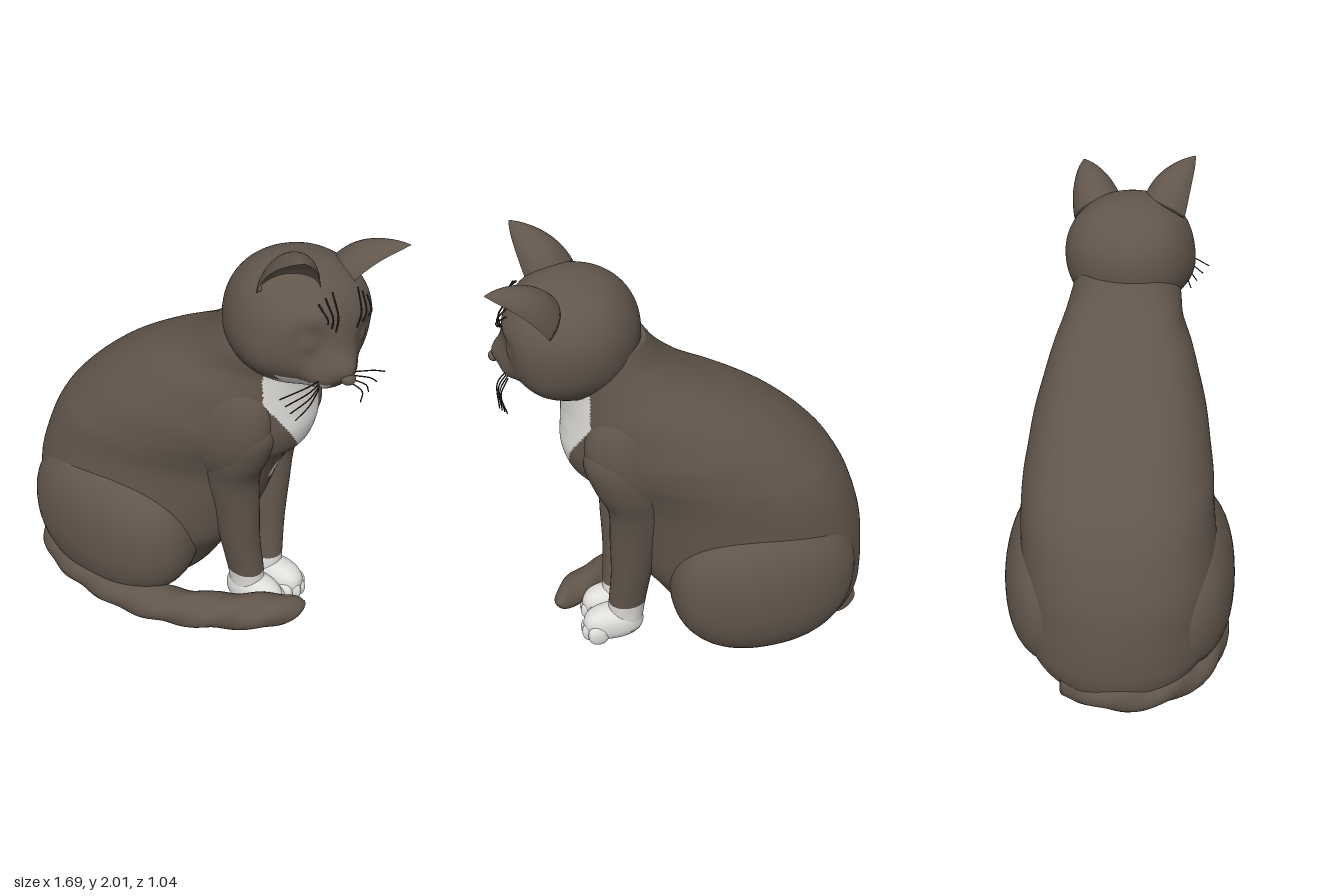
import * as THREE from 'three';

const V = (x, y, z) => new THREE.Vector3(x, y, z);
const mat = (name, color) => Object.assign(new THREE.MeshStandardMaterial({ color }), { name });
const fur = mat('brown fur', 0x62564c);
const white = mat('white fur', 0xe0dedb);
const dark = mat('dark hair', 0x2b2520);
const pw = (v, n) => Math.sign(v) * Math.abs(v) ** (2 / n);

// Closed smooth skin over a stack of rings, wound so that it faces outward
function skin(rings) {
  const n = rings[0].length, pos = [], idx = [];
  const mid = r => { const c = V(0, 0, 0); r.forEach(p => c.addScaledVector(p, 1 / n)); return r.map(() => c); };
  const all = [mid(rings[0]), ...rings, mid(rings[rings.length - 1])];
  const flat = all.flat();
  flat.forEach(p => pos.push(p.x, p.y, p.z));
  let volume = 0;
  const tri = (a, b, c) => {
    idx.push(a, b, c);
    volume += flat[a].dot(V(0, 0, 0).crossVectors(flat[b], flat[c]));
  };
  for (let r = 0; r < all.length - 1; r++) for (let i = 0; i < n; i++) {
    const a = r * n + i, b = r * n + (i + 1) % n;
    if (r > 0) tri(a, b + n, b);
    if (r < all.length - 2) tri(a, a + n, b + n);
  }
  if (volume < 0) idx.reverse();
  const g = new THREE.BufferGeometry();
  g.setAttribute('position', new THREE.Float32BufferAttribute(pos, 3));
  g.setIndex(idx);
  g.computeVertexNormals();
  return g;
}

// Horizontal slices [y, xBack, xFront, halfWidth, zCentre, narrowing to the front], smoothly interpolated
function slices(table, steps, n, seg, zShift = v => v) {
  const rings = [], last = table.length - 1;
  for (let s = 0; s <= last * steps; s++) {
    const k = Math.min(Math.floor(s / steps), last - 1), t = s / steps - k;
    const at = i => table[Math.max(0, Math.min(last, i))];
    const [y, xb, xf, w, zc, taper] = at(k).map((p1, j) => {
      const p0 = at(k - 1)[j], p2 = at(k + 1)[j], p3 = at(k + 2)[j];
      return 0.5 * (2 * p1 + (p2 - p0) * t + (2 * p0 - 5 * p1 + 4 * p2 - p3) * t * t + (3 * p1 - p0 - 3 * p2 + p3) * t ** 3);
    });
    rings.push(Array.from({ length: seg }, (_, i) => {
      const a = i / seg * Math.PI * 2, c = Math.cos(a);
      return V((xb + xf) / 2 + (xf - xb) / 2 * pw(c, n), y, zShift(zc) + w * (1 - taper * c) * pw(Math.sin(a), n));
    }));
  }
  return skin(rings);
}

// Rounded blob with optional reshaping by direction
function blob(rx, ry, rz, n = 2, seg = 32, warp = () => 0) {
  const rings = [];
  for (let j = 1; j < seg; j++) {
    const f = (j / seg - 0.5) * Math.PI;
    rings.push(Array.from({ length: seg * 2 }, (_, i) => {
      const a = i / seg * Math.PI, c = pw(Math.cos(f), n);
      const d = V(Math.cos(f) * Math.cos(a), Math.sin(f), Math.cos(f) * Math.sin(a));
      return V(rx * c * pw(Math.cos(a), n), ry * pw(Math.sin(f), n), rz * c * pw(Math.sin(a), n)).addScaledVector(d, warp(d));
    }));
  }
  return skin(rings);
}

// Sort faces into fur and white groups by a rule on their centre
function paint(g, isWhite) {
  const p = g.attributes.position, id = g.index.array, lists = [[], []];
  for (let i = 0; i < id.length; i += 3) {
    const c = V(0, 0, 0);
    for (let k = 0; k < 3; k++) c.add(V(0, 0, 0).fromBufferAttribute(p, id[i + k]).divideScalar(3));
    lists[isWhite(c) ? 1 : 0].push(id[i], id[i + 1], id[i + 2]);
  }
  g.setIndex([...lists[0], ...lists[1]]);
  g.addGroup(0, lists[0].length, 0);
  g.addGroup(lists[0].length, lists[1].length, 1);
  return g;
}

function add(parent, name, geo, material, x = 0, y = 0, z = 0) {
  const m = new THREE.Mesh(geo, material);
  m.name = name;
  m.position.set(x, y, z);
  parent.add(m);
  return m;
}

const hair = (pts, r) => new THREE.TubeGeometry(new THREE.CatmullRomCurve3(pts), 10, r, 5);

function tailGeometry() {
  const path = new THREE.CatmullRomCurve3([V(-0.68, 0.11, -0.22), V(-0.755, 0.11, 0.05), V(-0.57, 0.1, 0.35), V(-0.15, 0.09, 0.43),
    V(0.15, 0.095, 0.37), V(0.42, 0.11, 0.23), V(0.56, 0.125, 0.13), V(0.65, 0.14, 0.03)]);
  const rings = [], N = 110;
  for (let s = 0; s <= N; s++) {
    const t = s / N, c = path.getPointAt(t), d = path.getTangentAt(t);
    const side = V(0, 1, 0).cross(d).normalize(), up = d.clone().cross(side);
    const r = (0.093 - 0.012 * t) * Math.sqrt(Math.max(0.01, 1 - Math.max(0, (t - 0.88) / 0.12) ** 2));
    rings.push(Array.from({ length: 28 }, (_, i) => {
      const a = i / 28 * Math.PI * 2, k = r * (1 + 0.06 * Math.sin(3 * a + 55 * t));
      return c.clone().addScaledVector(side, k * Math.cos(a)).addScaledVector(up, k * Math.sin(a));
    }));
  }
  return skin(rings);
}

// Cupped ear: crescent sections shrinking toward a rounded tip
function earGeometry(s) {
  const base = V(0.1, 0.145, 0.165 * s), tip = V(0.262, 0.348, 0.272 * s), d = tip.clone().sub(base).normalize();
  const open = V(0.8, -0.15, 0.5 * s);
  open.addScaledVector(d, -open.dot(d)).normalize();
  const across = d.clone().cross(open), rings = [];
  for (let j = 0; j <= 24; j++) {
    const t = j / 24, k = Math.max(0.03, (1 - t ** 1.7) ** 0.8);
    const c = base.clone().lerp(tip, t).addScaledVector(open, -0.02 * Math.sin(t * Math.PI));
    rings.push(Array.from({ length: 32 }, (_, i) => {
      const a = i / 32 * Math.PI * 2, h = Math.sin(a);
      return c.clone().addScaledVector(across, 0.118 * k * Math.cos(a)).addScaledVector(open, -0.125 * k * (h > 0 ? h : -0.5 * h));
    }));
  }
  return skin(rings);
}

function buildHead() {
  const head = new THREE.Group();
  head.name = 'head';
  head.position.set(0.5, 1.62, 0.01);
  head.rotation.set(-0.15, -0.3, 0, 'YXZ');
  // [direction, push, spread]: muzzle, chin, nose bridge, then pads, cheeks, brows, eye sockets, lids
  const bumps = [[V(0.91, -0.41, 0), 0.052, 0.3], [V(0.72, -0.7, 0), 0.025, 0.2], [V(0.96, -0.27, 0), 0.03, 0.15]];
  for (const s of [1, -1]) bumps.push([V(0.82, -0.5, 0.25 * s), 0.022, 0.17], [V(0.25, -0.45, 0.88 * s), 0.012, 0.35],
    [V(0.82, 0.3, 0.42 * s), 0.01, 0.18], [V(0.84, -0.02, 0.45 * s), -0.036, 0.25], [V(0.84, -0.03, 0.47 * s), 0.024, 0.15]);
  bumps.forEach(b => b[0].normalize());
  const shape = v => bumps.reduce((sum, [d, amt, w]) => sum + amt * Math.exp(-(1 - d.dot(v)) * 2 / (w * w)), 0);
  const skull = blob(0.285, 0.268, 0.29, 2.15, 90, shape);
  add(head, 'skull', paint(skull, c => c.x > -0.04 && (c.y < -0.2 || (c.x > 0.14 && c.x < 0.32 && c.y < -0.168 && Math.abs(c.z) > 0.04))), [fur, white]);
  add(head, 'nose', blob(0.026, 0.022, 0.032, 2, 14), fur, 0.335, -0.133, 0);
  for (const s of [1, -1]) {
    add(head, 'ear', earGeometry(s), fur);
    // Whiskers and brow hairs
    for (let i = 0; i < 4; i++) {
      const y = -0.15 - 0.014 * i;
      add(head, 'whisker', hair([V(0.27, y, 0.08 * s), V(0.295, y - 0.015 * i, (0.17 - 0.01 * i) * s), V(0.27, y - 0.04 - 0.025 * i, (0.28 - 0.035 * i) * s)], 0.0028), dark);
    }
    for (let i = 0; i < 3; i++) {
      const z = (0.055 + 0.025 * i) * s;
      add(head, 'browHair', hair([V(0.275, 0.05 + 0.02 * i, z), V(0.278, 0.11, z * 1.08), V(0.228, 0.195 - 0.02 * i, z * 1.2)], 0.0035), dark);
    }
  }
  return head;
}

export function createModel() {
  const cat = new THREE.Group();
  cat.name = 'sitting cat';

  // Torso and neck with a white bib
  const torso = slices([[0.012, -0.6, -0.12, 0.17, 0, 0], [0.04, -0.72, 0, 0.29, 0, 0], [0.1, -0.8, 0.07, 0.375, 0, 0.05],
    [0.2, -0.83, 0.13, 0.42, 0, 0.1], [0.3, -0.835, 0.195, 0.43, 0, 0.13], [0.42, -0.83, 0.28, 0.43, 0, 0.15], [0.6, -0.805, 0.35, 0.425, 0, 0.2],
    [0.8, -0.735, 0.42, 0.41, -0.01, 0.24], [0.92, -0.67, 0.485, 0.405, -0.01, 0.22], [1.0, -0.61, 0.55, 0.395, -0.01, 0.18],
    [1.1, -0.51, 0.58, 0.38, -0.01, 0.12], [1.2, -0.385, 0.575, 0.35, -0.01, 0.06], [1.3, -0.22, 0.567, 0.315, -0.01, 0], [1.4, -0.02, 0.575, 0.27, -0.01, 0],
    [1.5, 0.12, 0.6, 0.245, 0, 0], [1.6, 0.2, 0.6, 0.22, 0, 0]], 12, 2.15, 180);
  const bib = c => {
    const z = Math.abs(c.z + 0.01), m = Math.abs(c.z + 0.022);
    if (c.x < 0.2) return false;
    if (c.y > 0.97) return c.x > 0.42 + (1.42 - c.y) * 0.25 && z < 0.21 * Math.min(1, (c.y - 0.97) / 0.3) ** 0.85;
    return Math.hypot(m / 0.028, (c.y - 0.797) / 0.065) < 1 || Math.hypot(m / 0.016, (c.y - 0.93) / 0.03) < 1;
  };
  add(cat, 'torso', paint(torso, bib), [fur, white]);

  for (const s of [1, -1]) {
    add(cat, 'haunch', blob(0.44, 0.385, 0.26, 2.25), fur, -0.28, 0.39, 0.262 * s);
    const shoulder = add(cat, 'shoulder', blob(0.22, 0.3, 0.14), fur, 0.28, 1.1, 0.185 * s - 0.01);
    shoulder.rotation.z = -0.3;

    // Front leg with a white sock
    const shift = z => (s > 0 ? z : -z - 0.035);
    const leg = slices([[0.06, 0.27, 0.43, 0.07, 0.055, 0], [0.2, 0.25, 0.425, 0.074, 0.06, 0], [0.4, 0.22, 0.41, 0.085, 0.085, 0],
      [0.6, 0.18, 0.41, 0.1, 0.105, 0], [0.8, 0.15, 0.415, 0.12, 0.128, 0], [0.95, 0.15, 0.475, 0.135, 0.148, 0],
      [1.1, 0.18, 0.515, 0.125, 0.16, 0], [1.25, 0.25, 0.46, 0.06, 0.17, 0]], 8, 2.1, 40, shift);
    add(cat, 'frontLeg', paint(leg, c => c.y < 0.215), [fur, white]);

    // Paw and toes
    const z = shift(0.057), x = s > 0 ? -0.02 : 0;
    add(cat, 'paw', blob(0.145, 0.09, 0.08, 2.3, 28), white, 0.405 + x, 0.1, z);
    for (let i = 0; i < 4; i++) {
      const k = i - 1.5;
      add(cat, 'toe', blob(0.05, 0.055, 0.028, 2.2, 16), white, 0.515 + x - 0.012 * k * k, 0.068, z + 0.037 * k);
    }
  }

  add(cat, 'tail', tailGeometry(), fur);
  cat.add(buildHead());
  return cat;
}
